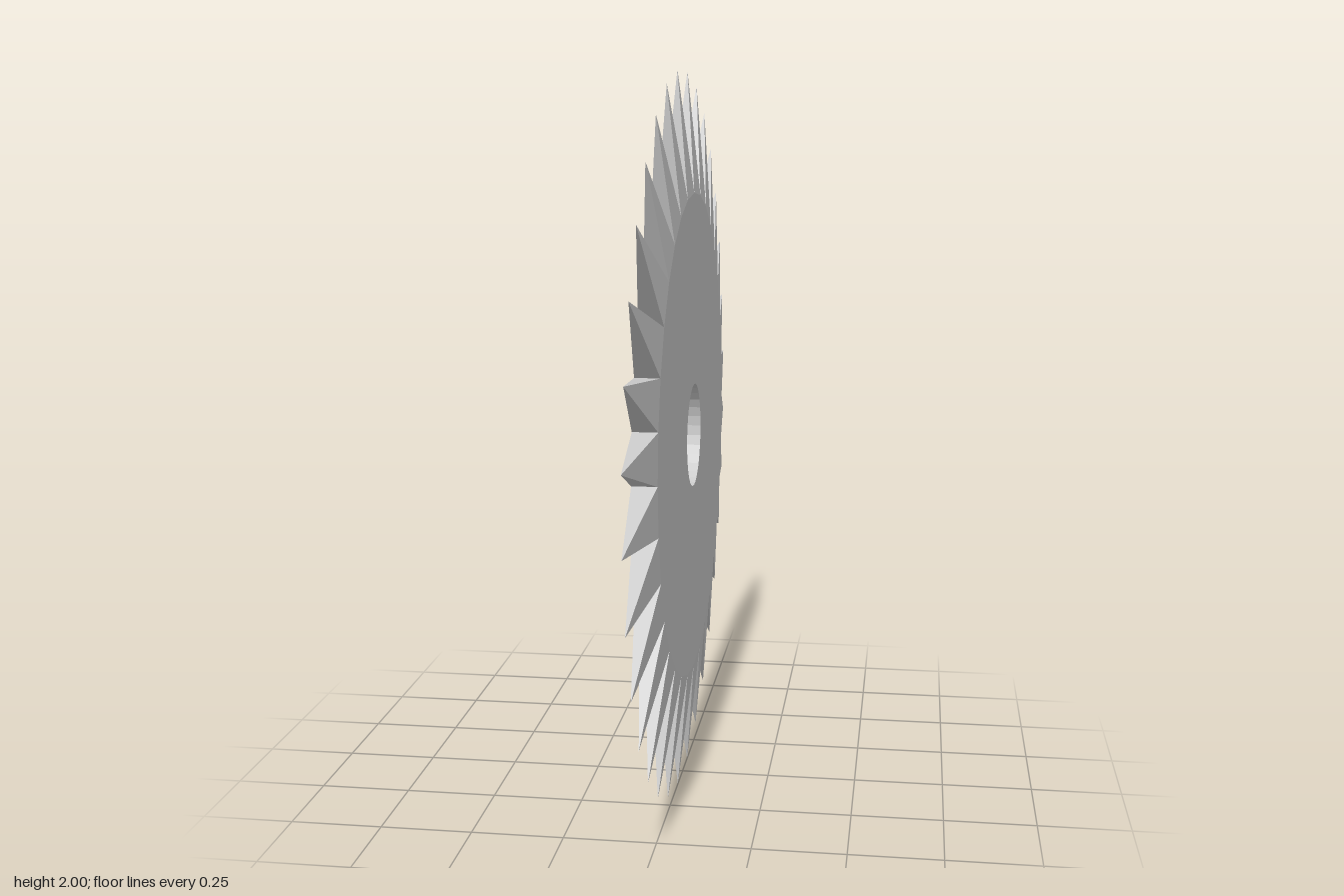
import * as THREE from 'three';
import { mergeGeometries } from 'three/addons/utils/BufferGeometryUtils.js';

const TEETH = 32;
const STEP = (Math.PI * 2) / TEETH;
const TIP = 1 / Math.cos(STEP / 2); // tips straddle the axes, so the width is 2
const ROOT = 0.673;
const BORE = 0.144;
const THICK = 0.065;

// Points of a regular polygon with one corner on each axis
const ring = (radius, n) => Array.from({ length: n }, (_, i) => {
  const a = (i / n) * Math.PI * 2;
  return new THREE.Vector2(radius * Math.cos(a), radius * Math.sin(a));
});

export function createModel() {
  const group = new THREE.Group();
  group.name = 'sawBlade';
  const material = new THREE.MeshStandardMaterial({ color: 0xcccccc, flatShading: true });

  // Flat disc with the round arbor hole
  const shape = new THREE.Shape(ring(ROOT, TEETH));
  shape.holes.push(new THREE.Path(ring(BORE, 32)));
  const discGeometry = new THREE.ExtrudeGeometry(shape, { depth: THICK, bevelEnabled: false });
  discGeometry.translate(0, 0, -THICK / 2).rotateY(Math.PI / 2);
  const disc = new THREE.Mesh(discGeometry, material);
  disc.name = 'disc';

  // Teeth: rectangular pyramids, one on each edge of the disc
  const base = ROOT * Math.cos(STEP / 2);
  const width = 2 * ROOT * Math.sin(STEP / 2);
  const height = TIP - base;
  const tooth = new THREE.ConeGeometry(Math.SQRT1_2, height, 4, 1, true)
    .rotateY(Math.PI / 4)
    .scale(THICK, 1, width)
    .translate(0, base + height / 2, 0);
  const teeth = new THREE.Mesh(mergeGeometries(
    Array.from({ length: TEETH }, (_, i) => tooth.clone().rotateX((i + 0.5) * STEP))
  ), material);
  teeth.name = 'teeth';

  group.add(disc, teeth);
  group.position.y = 1;
  return group;
}
